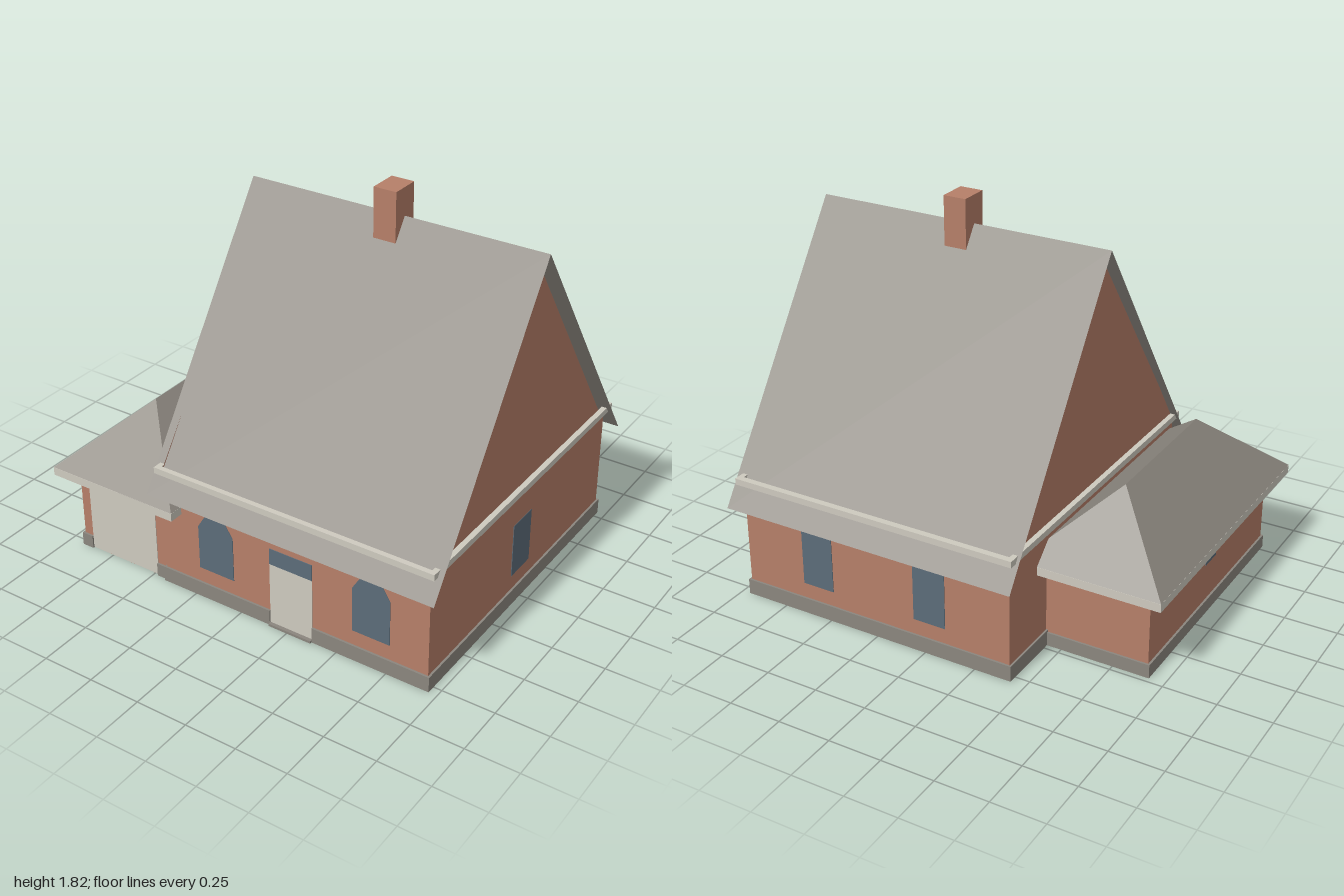
import * as THREE from 'three';

const mat = (name, color, side = THREE.FrontSide) => {
  const m = new THREE.MeshStandardMaterial({ color, side });
  m.name = name;
  return m;
};

export function createModel() {
  const house = new THREE.Group();
  house.name = 'house';
  const brick = mat('brick', 0xb67f69, THREE.DoubleSide);
  const slate = mat('grey slate', 0x8b867e, THREE.DoubleSide);
  const cream = mat('cream trim', 0xcecabf);
  const glass = mat('blue glass', 0x5c6c79);

  const add = (name, geometry, material) => {
    const mesh = new THREE.Mesh(geometry, material);
    mesh.name = name;
    house.add(mesh);
    return mesh;
  };
  // Box given by its minimum and maximum along each axis
  const box = (name, material, x0, x1, y0, y1, z0, z1) =>
    add(name, new THREE.BoxGeometry(x1 - x0, y1 - y0, z1 - z0), material)
      .position.set((x0 + x1) / 2, (y0 + y1) / 2, (z0 + z1) / 2);
  // Flat convex polygon, corners counter-clockwise seen from outside
  const face = (name, material, ...pts) => {
    const pos = [];
    for (let i = 1; i < pts.length - 1; i++) pos.push(...pts[0], ...pts[i], ...pts[i + 1]);
    const g = new THREE.BufferGeometry();
    g.setAttribute('position', new THREE.Float32BufferAttribute(pos, 3));
    g.computeVertexNormals();
    add(name, g, material);
  };

  // Main walls and gables, open underneath
  const L = -0.42, R = 0.95, D = 0.78, wallTop = 0.58;
  face('frontWall', brick, [L, 0, D], [R, 0, D], [R, wallTop, D], [L, wallTop, D]);
  face('backWall', brick, [R, 0, -D], [L, 0, -D], [L, wallTop, -D], [R, wallTop, -D]);
  const gable = [[D, 0], [-D, 0], [-D, wallTop], [-0.72, 0.6], [0, 1.64], [0.72, 0.6], [D, wallTop]];
  face('leftGable', brick, ...gable.map(([z, y]) => [R, y, z]));
  face('rightGable', brick, ...gable.map(([z, y]) => [L, y, z]).reverse());

  // Main roof, two thin slopes
  const ridge = 1.69, rx0 = -0.46, rx1 = 1, slope = 1.44;
  const roofY = z => ridge - slope * Math.abs(z);
  face('frontRoof', slate, [rx0, roofY(0.84), 0.84], [rx1, roofY(0.84), 0.84], [rx1, ridge, 0], [rx0, ridge, 0]);
  face('backRoof', slate, [rx1, roofY(0.85), -0.85], [rx0, roofY(0.85), -0.85], [rx0, ridge, 0], [rx1, ridge, 0]);

  // Trim band around the main walls
  box('frontTrim', cream, -0.445, 0.975, 0.575, 0.605, 0.775, 0.8);
  box('backTrim', cream, -0.445, 0.975, 0.575, 0.605, -0.81, -0.78);
  box('leftTrim', cream, R, 0.975, 0.575, 0.605, -0.81, 0.8);
  box('rightTrim', cream, -0.445, L, 0.575, 0.605, -0.81, 0.8);

  // Chimney
  box('chimney', brick, 0.21, 0.32, 1.52, 1.82, -0.07, 0.07);

  // Main plinth, interrupted by the front door
  const ph = 0.075, pt = 0.01;
  box('frontPlinthRight', slate, L - pt, 0.155, 0, ph, D, D + pt);
  box('frontPlinthLeft', slate, 0.375, R + pt, 0, ph, D, D + pt);
  box('backPlinth', slate, L - pt, R + pt, 0, ph, -D - pt, -D);
  box('leftPlinth', slate, R, R + pt, 0, ph, -D, D);
  box('rightPlinth', slate, L - pt, L, 0, ph, -D, D);

  // Garage walls
  const gx = -0.915, gf = 0.77, gb = -0.465, gt = 0.4;
  face('garageFrontWall', brick, [gx, 0, gf], [L, 0, gf], [L, gt, gf], [gx, gt, gf]);
  face('garageBackWall', brick, [L, 0, gb], [gx, 0, gb], [gx, gt, gb], [L, gt, gb]);
  face('garageSideWall', brick, [gx, 0, gb], [gx, 0, gf], [gx, gt, gf], [gx, gt, gb]);

  // Garage plinth, interrupted by the garage door
  const gh = 0.065;
  box('garageFrontPlinthRight', slate, gx - pt, -0.865, 0, gh, gf, gf + pt);
  box('garageFrontPlinthLeft', slate, -0.48, L, 0, gh, gf, gf + pt);
  box('garageBackPlinth', slate, gx - pt, L, 0, gh, gb - pt, gb);
  box('garageSidePlinth', slate, gx - pt, gx, 0, gh, gb, gf);

  // Garage eave slab and hipped roof
  const ex0 = -1, ex1 = -0.32, ez0 = -0.55, ez1 = 0.85, ey = 0.436;
  box('garageEave', cream, ex0, ex1, 0.395, 0.435, ez0, ez1);
  const a = [ex0, ey, ez1], b = [ex1, ey, ez1], c = [ex1, ey, ez0], d = [ex0, ey, ez0];
  const p = [-0.66, 0.74, 0.51], q = [-0.66, 0.74, -0.21];
  face('garageRoofFront', slate, a, b, p);
  face('garageRoofLeft', slate, b, c, q, p);
  face('garageRoofBack', slate, c, d, q);
  face('garageRoofRight', slate, d, a, p, q);

  // Doors, transom light and step
  const t = 0.003;
  box('garageDoor', cream, -0.865, -0.48, 0.003, 0.355, gf - t, gf + t);
  box('frontDoor', cream, 0.155, 0.375, 0.012, 0.32, D - t, D + t);
  box('transomWindow', glass, 0.155, 0.375, 0.32, 0.4, D - t, D + t);
  box('doorStep', slate, 0.155, 0.375, 0, 0.012, D, 0.8);

  // Arched front windows
  const arch = new THREE.Shape([[-0.093, 0.15], [0.093, 0.15], [0.093, 0.37], [0.057, 0.428],
    [0, 0.46], [-0.057, 0.428], [-0.093, 0.37]].map(v => new THREE.Vector2(...v)));
  const archGeometry = new THREE.ExtrudeGeometry(arch, { depth: 2 * t, bevelEnabled: false });
  for (const x of [-0.133, 0.67]) add('archedWindow', archGeometry, glass).position.set(x, 0, D - t);

  // Plain windows at the back and sides
  for (const x of [-0.02, 0.565]) box('backWindow', glass, x - 0.08, x + 0.08, 0.15, 0.42, -D - t, -D + t);
  box('leftWindow', glass, R - t, R + t, 0.15, 0.415, -0.08, 0.08);
  box('garageWindow', glass, gx - t, gx + t, 0.25, 0.34, 0.1, 0.21);

  return house;
}
